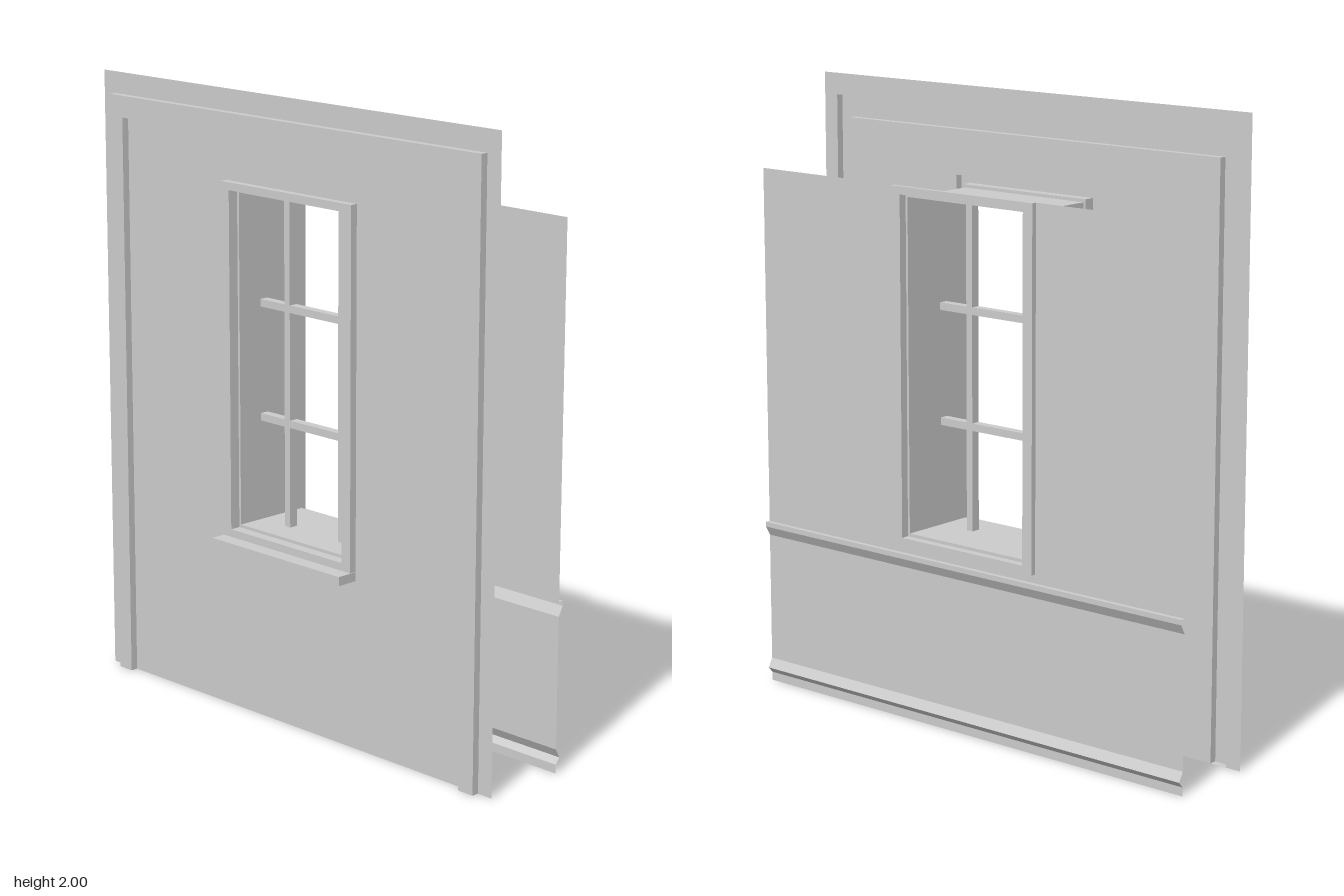
import * as THREE from 'three';

const material = new THREE.MeshStandardMaterial({ color: 0xcccccc, side: THREE.DoubleSide, flatShading: true });

const HALF = 0.857;                        // half width of both walls
const OUT_WALL = -0.118, OUT_FACE = -0.142; // outer wall sheet and its raised trim
const IN_WALL = 0.17, IN_FACE = 0.187;      // inner wall sheet and its raised trim
const MID_Y = 1.145;                       // height of the window centre

// Skin between rows of [x, y, z] points
function skin(rows) {
  const position = [];
  for (let i = 0; i + 1 < rows.length; i++) {
    for (let j = 0; j + 1 < rows[i].length; j++) {
      const a = rows[i][j], b = rows[i][j + 1], c = rows[i + 1][j + 1], d = rows[i + 1][j];
      position.push(...a, ...b, ...c, ...a, ...c, ...d);
    }
  }
  const g = new THREE.BufferGeometry();
  g.setAttribute('position', new THREE.Float32BufferAttribute(position, 3));
  g.computeVertexNormals();
  return g;
}

// Rectangular ring around the window centre
const ring = ([hz, hy, x]) =>
  [[-1, -1], [1, -1], [1, 1], [-1, 1], [-1, -1]].map(([s, t]) => [x, MID_Y + t * hy, s * hz]);

// Door-shaped outline, open at the floor
const arch = (hz, top, x) => [[x, 0, -hz], [x, top, -hz], [x, top, hz], [x, 0, hz]];

function box(x0, x1, y0, y1, z0, z1) {
  const g = new THREE.BoxGeometry(x1 - x0, y1 - y0, z1 - z0);
  return g.translate((x0 + x1) / 2, (y0 + y1) / 2, (z0 + z1) / 2);
}

export function createModel() {
  const model = new THREE.Group();
  const add = (name, geometry) => {
    const mesh = new THREE.Mesh(geometry, material);
    mesh.name = name;
    model.add(mesh);
  };

  // Outer wall: border and trim pressed out of one sheet
  add('outerWallTrim', skin([
    arch(HALF, 2, OUT_WALL), arch(0.803, 1.93, OUT_WALL), arch(0.803, 1.93, OUT_FACE),
    arch(0.745, 1.86, OUT_FACE), arch(0.745, 1.86, OUT_WALL),
  ]));
  for (const s of [-1, 1]) {
    add('trimFoot', skin([
      [[OUT_WALL, 0, s * 0.745], [OUT_WALL, 0, s * 0.803]],
      [[OUT_FACE, 0, s * 0.745], [OUT_FACE, 0, s * 0.803]],
    ]));
  }

  // Outer wall field with the window cut out
  const field = new THREE.Shape([[-0.745, 0], [0.745, 0], [0.745, 1.86], [-0.745, 1.86]]
    .map(([u, v]) => new THREE.Vector2(u, v)));
  field.holes.push(new THREE.Path(ring([0.285, 0.57, 0]).map(([, y, z]) => new THREE.Vector2(z, y)).slice(0, 4)));
  add('outerWall', new THREE.ShapeGeometry(field).rotateY(Math.PI / 2).translate(OUT_WALL, 0, 0));

  // Inner wall below the window: skirting and dado rail folded from one sheet
  const profile = [
    [IN_WALL, 0], [IN_WALL, 0.028], [IN_FACE, 0.047], [IN_WALL, 0.077], [IN_WALL, 0.5],
    [IN_FACE, 0.531], [IN_FACE, 0.547], [IN_WALL, 0.547], [IN_WALL, 0.575],
  ];
  add('innerWallBase', skin([-HALF, HALF].map((z) => profile.map(([x, y]) => [x, y, z]))));

  // Inner wall either side of the window
  for (const s of [-1, 1]) {
    add('innerWallSide', skin([0.575, 1.715].map((y) => [[IN_WALL, y, s * 0.285], [IN_WALL, y, s * HALF]])));
  }

  // Window casings and the reveal joining the two walls
  const casing = (wall, face, step) => skin([
    [0.285, 0.57, wall], [0.285, 0.57, face], [0.248, 0.545, face],
    [0.248, 0.545, step], [0.24, 0.535, step],
  ].map(ring));
  add('outerCasing', casing(OUT_WALL, OUT_FACE, -0.107));
  add('innerCasing', casing(IN_WALL, IN_FACE, 0.16));
  add('windowReveal', skin([[0.24, 0.535, -0.107], [0.24, 0.535, 0.16]].map(ring)));

  // Glazing bars
  for (const z of [-0.119, 0.119]) add('verticalBar', box(-0.018, 0.012, 0.61, 1.68, z - 0.012, z + 0.012));
  for (const y of [0.948, 1.318]) add('horizontalBar', box(-0.018, 0.012, y - 0.012, y + 0.012, -0.24, 0.24));

  // Sill outside
  add('sill', box(-0.19, OUT_WALL, 0.545, 0.574, -0.285, 0.285));

  return model;
}
